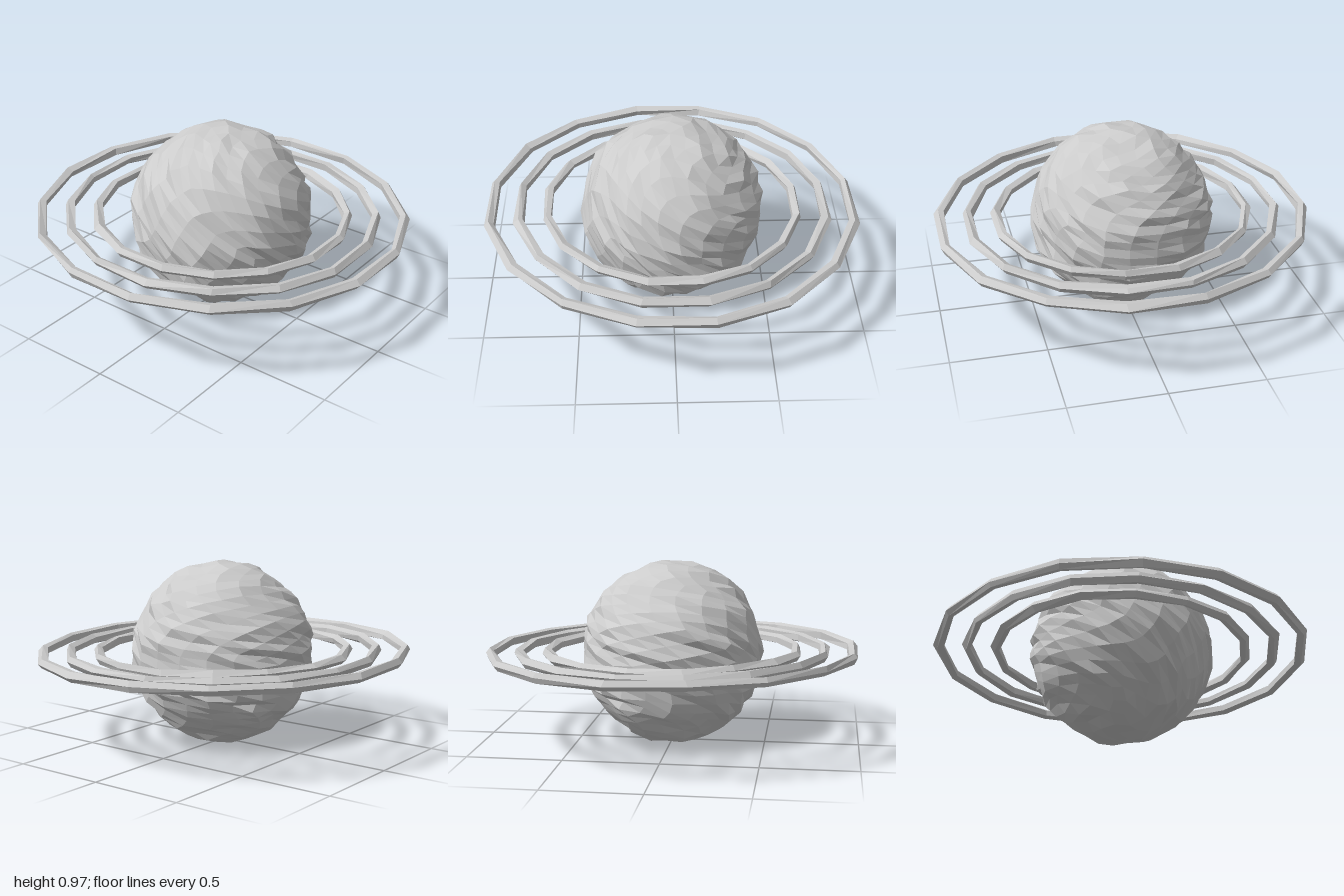
import * as THREE from 'three';
import { mergeVertices } from 'three/addons/utils/BufferGeometryUtils.js';

// Small seeded generator, values in -1..1
function seeded(seed) {
  let s = seed;
  return () => {
    s = (s * 16807) % 2147483647;
    return (s / 2147483647) * 2 - 1;
  };
}

// Weld the corners, move every vertex by a rule, then split into flat facets
function reshape(geometry, rule) {
  geometry.deleteAttribute('uv');
  geometry.deleteAttribute('normal');
  const welded = mergeVertices(geometry, 1e-4);
  const pos = welded.attributes.position;
  const v = new THREE.Vector3();
  for (let i = 0; i < pos.count; i++) {
    rule(v.fromBufferAttribute(pos, i));
    pos.setXYZ(i, v.x, v.y, v.z);
  }
  const faceted = welded.toNonIndexed();
  faceted.computeVertexNormals();
  return faceted;
}

export function createModel() {
  const group = new THREE.Group();
  const material = new THREE.MeshStandardMaterial({ color: 0xcccccc, flatShading: true });

  // Planet: rough sphere whose facets are wrung into slanted streaks
  const rough = seeded(71);
  const up = new THREE.Vector3(0, 1, 0);
  const planetGeometry = reshape(new THREE.IcosahedronGeometry(1, 6), (v) => {
    const latitude = Math.asin(THREE.MathUtils.clamp(v.y, -1, 1));
    v.applyAxisAngle(up, -1.5 * latitude);
    v.multiplyScalar(0.482 + 0.015 * rough());
  });
  const planet = new THREE.Mesh(planetGeometry, material);
  planet.name = 'planet';
  planet.position.y = 0.5;
  planet.quaternion.setFromAxisAngle(new THREE.Vector3(1, 0, 1).normalize(), -0.3);
  group.add(planet);

  // Three thin, slightly uneven rings sharing one gentle tilt
  const rings = new THREE.Group();
  rings.name = 'rings';
  rings.position.y = 0.507;
  rings.rotation.set(-0.01, 0, -0.01);
  ['innerRing', 'middleRing', 'outerRing'].forEach((name, i) => {
    const jitter = seeded(101 + i * 977);
    const torus = new THREE.TorusGeometry([0.668, 0.82, 0.97][i], 0.028, 5, 16);
    torus.rotateX(-Math.PI / 2).rotateY(Math.PI / 16);
    const geometry = reshape(torus, (v) => {
      v.x += 0.006 * jitter();
      v.y += 0.005 * jitter();
      v.z += 0.006 * jitter();
    });
    const ring = new THREE.Mesh(geometry, material);
    ring.name = name;
    rings.add(ring);
  });
  group.add(rings);

  return group;
}
